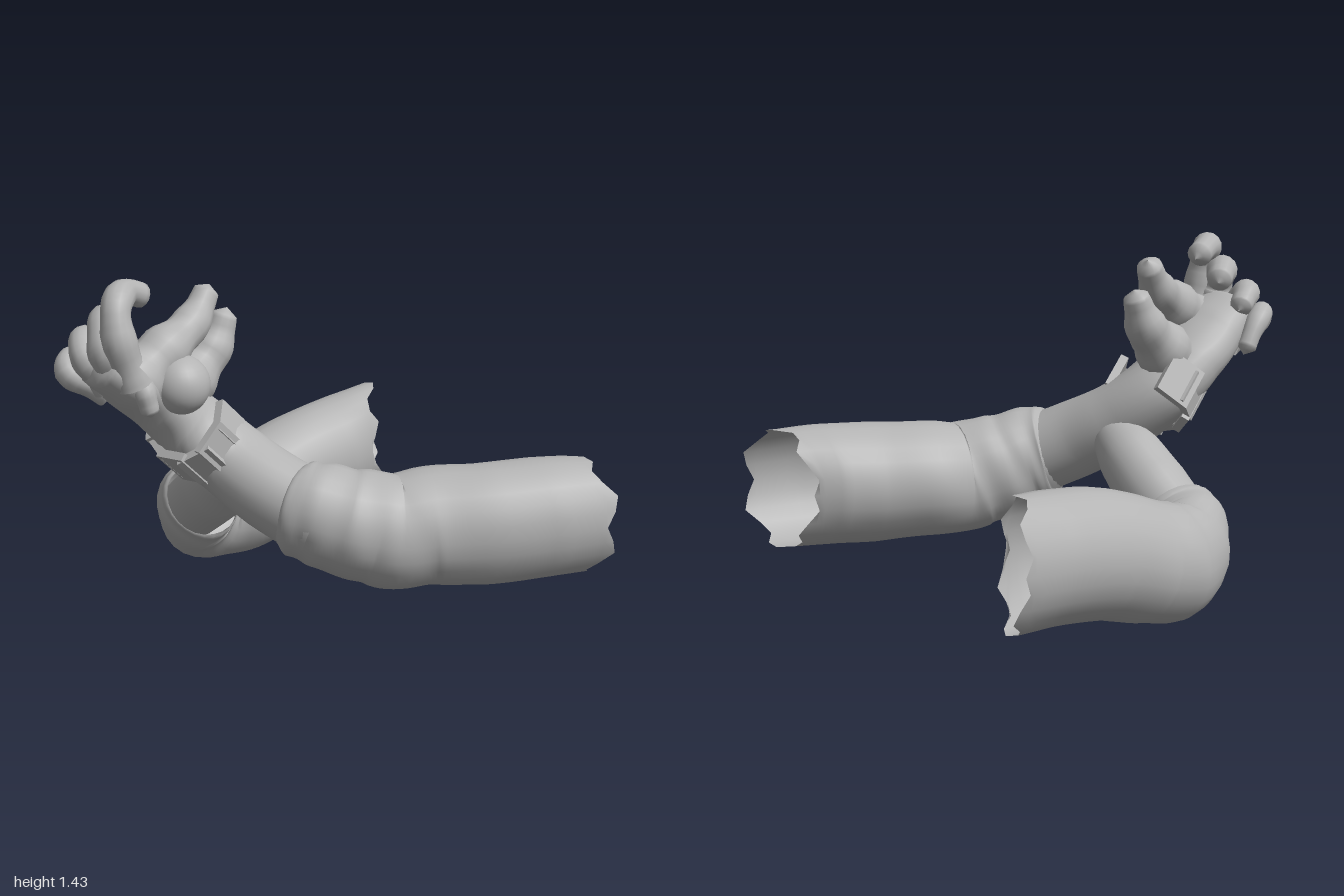
import * as THREE from 'three';

const skin = new THREE.MeshStandardMaterial({ color: 0xb4b4b4, side: THREE.DoubleSide });
skin.name = 'plain grey';

const Y = new THREE.Vector3(0, 1, 0);

// Elliptical tube through stations [x, y, z, sideRadius, upRadius]
function loft(stations, { steps = 6, sides = 24, slant = 0, jag = 0, fold = 0, round = false } = {}) {
  const curve = new THREE.CatmullRomCurve3(stations.map(s => new THREE.Vector3(s[0], s[1], s[2])));
  const last = stations.length - 1, n = last * steps;
  const frames = round ? curve.computeFrenetFrames(n, false) : null;
  const pos = [], index = [];
  for (let i = 0; i <= n; i++) {
    const t = i / n, k = Math.min(Math.floor(i / steps), last - 1), f = i / steps - k;
    const c = round ? curve.getPointAt(t) : curve.getPoint(t);
    const T = curve.getTangent(t);
    const side = round ? frames.binormals[i] : new THREE.Vector3().crossVectors(T, Y).normalize();
    const up = round ? frames.normals[i] : new THREE.Vector3().crossVectors(side, T).normalize();
    const a = THREE.MathUtils.lerp(stations[k][3], stations[k + 1][3], f);
    const b = THREE.MathUtils.lerp(stations[k][4] ?? stations[k][3], stations[k + 1][4] ?? stations[k + 1][3], f);
    for (let j = 0; j < sides; j++) {
      const w = j / sides * Math.PI * 2;
      // cloth folds grow towards the elbow, the torn rim sits on the first ring
      const m = 1 + fold * t * Math.sin(t * 42 + 1.5 * Math.sin(w * 2)) + fold * 0.6 * Math.sin(w * 3 + t * 7);
      const fade = Math.max(0, 1 - t * 4);
      const shift = slant * Math.cos(w) * fade + (i === 0 ? jag * Math.sin(j * 1.7) : 0);
      const p = c.clone().addScaledVector(side, Math.cos(w) * a * m)
        .addScaledVector(up, Math.sin(w) * b * m).addScaledVector(T, shift);
      pos.push(p.x, p.y, p.z);
      if (i < n) {
        const p0 = i * sides + j, p1 = i * sides + (j + 1) % sides;
        index.push(p0, p0 + sides, p1, p1, p0 + sides, p1 + sides);
      }
    }
  }
  const geo = new THREE.BufferGeometry();
  geo.setAttribute('position', new THREE.Float32BufferAttribute(pos, 3));
  geo.setIndex(index);
  geo.computeVertexNormals();
  return geo;
}

// Round-ended finger, thickness running from r0 at the base to r1 at the tip
function finger(points, r0, r1) {
  const curve = new THREE.CatmullRomCurve3(points.map(p => new THREE.Vector3(...p)));
  const len = curve.getLength(), n = 16, stations = [];
  for (let i = 0; i <= n; i++) {
    const t = i / n, p = curve.getPointAt(t), r = THREE.MathUtils.lerp(r0, r1, t);
    const e = Math.min(1, (1 - t) * len / r1);
    const knuckle = 1 + 0.07 * Math.cos(t * Math.PI * 6);
    stations.push([p.x, p.y, p.z, Math.max(0.002, r * knuckle * Math.sqrt(1 - (1 - e) ** 2))]);
  }
  return loft(stations, { steps: 2, sides: 14, round: true });
}

export function createModel() {
  const model = new THREE.Group();
  const add = (name, geo, parent = model) => {
    const mesh = new THREE.Mesh(geo, skin);
    mesh.name = name;
    parent.add(mesh);
    return mesh;
  };

  // Sleeves, open and torn at the shoulder end
  add('leftSleeve', loft([
    [0.7, 0.44, -0.76, 0.19, 0.245], [0.635, 0.44, -0.6, 0.225, 0.25], [0.545, 0.43, -0.4, 0.23, 0.25],
    [0.43, 0.43, -0.2, 0.23, 0.24], [0.38, 0.42, -0.06, 0.21, 0.235], [0.34, 0.44, 0.01, 0.205, 0.23],
    [0.28, 0.465, 0.1, 0.205, 0.22], [0.22, 0.5, 0.18, 0.185, 0.21], [0.165, 0.52, 0.235, 0.18, 0.2],
    [0.13, 0.53, 0.26, 0.16, 0.165],
  ], { slant: 0.09, jag: 0.03, fold: 0.02 }));
  add('rightSleeve', loft([
    [-0.7, 0.41, -0.8, 0.175, 0.25], [-0.68, 0.39, -0.6, 0.212, 0.25], [-0.67, 0.35, -0.35, 0.22, 0.25],
    [-0.675, 0.28, -0.12, 0.23, 0.24], [-0.685, 0.245, 0.03, 0.22, 0.235], [-0.665, 0.255, 0.16, 0.185, 0.22],
    [-0.605, 0.305, 0.24, 0.175, 0.2], [-0.545, 0.345, 0.26, 0.17, 0.18], [-0.51, 0.37, 0.265, 0.165, 0.165],
  ], { slant: -0.15, jag: 0.035, fold: 0.02 }));

  // Bare forearms; the left one runs on into the palm
  add('rightForearm', loft([
    [-0.64, 0.29, 0.24, 0.14], [-0.42, 0.45, 0.26, 0.15], [-0.28, 0.56, 0.28, 0.135], [-0.17, 0.62, 0.31, 0.1],
  ]));
  add('leftForearmAndPalm', loft([
    [0.25, 0.48, 0.18, 0.17], [0.05, 0.58, 0.3, 0.165], [-0.12, 0.68, 0.38, 0.165, 0.155],
    [-0.25, 0.81, 0.49, 0.19, 0.145], [-0.29, 0.93, 0.61, 0.185, 0.13], [-0.29, 1.04, 0.75, 0.18, 0.12],
    [-0.3, 1.12, 0.87, 0.15, 0.09], [-0.3, 1.15, 0.91, 0.005, 0.005],
  ]));

  // Wristband: overlapping plates round the outside of the wrist
  const band = new THREE.Group();
  band.name = 'wristband';
  model.add(band);
  const axis = new THREE.Vector3(0.05, 0.7, 0.7).normalize();
  const side = new THREE.Vector3().crossVectors(axis, new THREE.Vector3(0.35, 1, 0)).normalize();
  const up = new THREE.Vector3().crossVectors(side, axis);
  for (let i = 0; i < 8; i++) {
    const w = THREE.MathUtils.degToRad(125 + i * 34), c = Math.cos(w), s = Math.sin(w);
    const out = side.clone().multiplyScalar(c * 0.17).addScaledVector(up, s * 0.225).normalize();
    const along = new THREE.Vector3().crossVectors(axis, out);
    const plate = add('wristPlate', new THREE.BoxGeometry(0.15, 0.15 + 0.03 * (i % 2), 0.035), band);
    plate.quaternion.setFromRotationMatrix(new THREE.Matrix4().makeBasis(along, axis, out));
    plate.position.set(-0.23, 0.8, 0.475).addScaledVector(side, c * 0.215).addScaledVector(up, s * 0.155);
  }

  // Curled fingers and the two digits reaching back
  const hand = new THREE.Group();
  hand.name = 'fingers';
  model.add(hand);
  const digits = {
    indexFinger: [[[-0.18, 1.05, 0.78], [-0.18, 1.23, 0.84], [-0.21, 1.35, 0.83], [-0.28, 1.385, 0.75], [-0.32, 1.345, 0.63]], 0.075, 0.05],
    middleFinger: [[[-0.24, 1.05, 0.81], [-0.24, 1.2, 0.87], [-0.3, 1.28, 0.83], [-0.37, 1.24, 0.72]], 0.075, 0.055],
    ringFinger: [[[-0.31, 1.02, 0.82], [-0.33, 1.15, 0.91], [-0.4, 1.19, 0.87], [-0.45, 1.13, 0.76]], 0.065, 0.05],
    littleFinger: [[[-0.36, 0.98, 0.8], [-0.41, 1.07, 0.94], [-0.46, 1.11, 0.9], [-0.48, 1.05, 0.82], [-0.48, 0.95, 0.76]], 0.06, 0.04],
    hookedFinger: [[[-0.27, 0.93, 0.68], [-0.21, 1.04, 0.74], [-0.14, 1.03, 0.76], [-0.12, 0.92, 0.74]], 0.05, 0.04],
    backFinger: [[[-0.21, 1.06, 0.75], [-0.22, 1.15, 0.61], [-0.26, 1.23, 0.46], [-0.3, 1.36, 0.35]], 0.12, 0.05],
    thumb: [[[-0.28, 0.9, 0.56], [-0.3, 0.99, 0.45], [-0.31, 1.1, 0.33], [-0.31, 1.25, 0.26]], 0.14, 0.05],
  };
  for (const [name, [points, r0, r1]] of Object.entries(digits)) add(name, finger(points, r0, r1), hand);

  // Ball held beside the palm
  add('ball', new THREE.SphereGeometry(0.12, 28, 18)).position.set(-0.15, 1.02, 0.59);

  return model;
}
